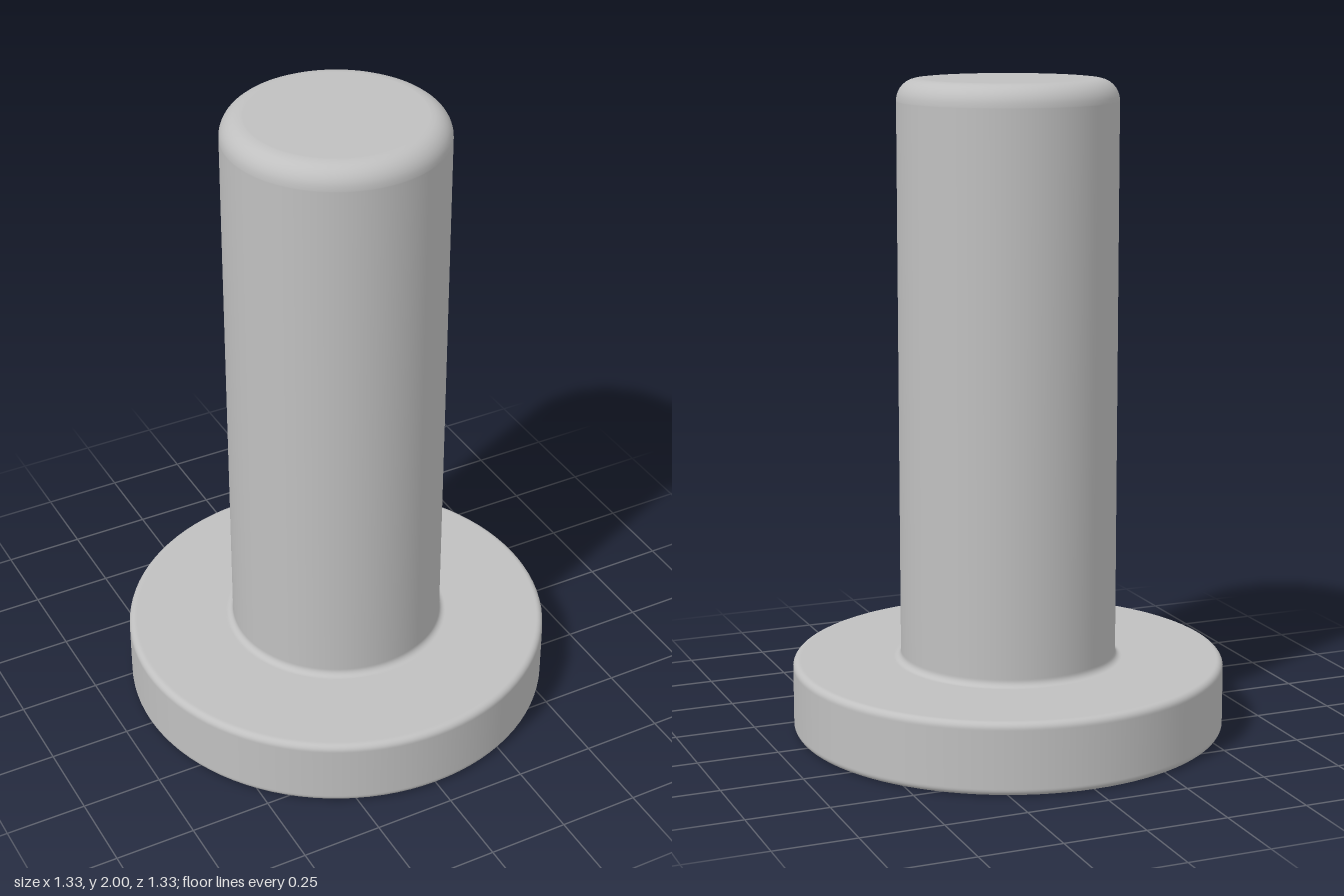
import * as THREE from 'three';

const SEGMENTS = 96;
const HEAD_R = 0.667, HEAD_H = 0.22, SHANK_R = 0.333, HEIGHT = 2;
const EDGE = 0.02, TIP = 0.065;
const SOCKET_R = 0.285, SOCKET_DEPTH = 0.17;

// Quarter-circle of profile points around (cx, cy), with short tangent
// lead-ins so that the neighbouring flat surfaces keep clean normals
function arc(cx, cy, r, from, to, steps = 8) {
  const at = (a) => new THREE.Vector2(cx + r * Math.cos(a), cy + r * Math.sin(a));
  const lead = 0.003, dir = Math.sign(to - from);
  const tangent = (a) => new THREE.Vector2(-Math.sin(a), Math.cos(a)).multiplyScalar(lead * dir);
  const points = [at(from).sub(tangent(from))];
  for (let i = 0; i <= steps; i++) points.push(at(from + ((to - from) * i) / steps));
  points.push(at(to).add(tangent(to)));
  return points;
}

export function createModel() {
  const group = new THREE.Group();
  group.name = 'socketBolt';
  const steel = new THREE.MeshStandardMaterial({ color: 0xc0c0c0 });
  steel.name = 'grey steel';

  const add = (name, geometry) => {
    const mesh = new THREE.Mesh(geometry, steel);
    mesh.name = name;
    group.add(mesh);
  };

  const q = Math.PI / 2;

  // Head rim, rounded at both edges, and its flat upper shoulder
  const shoulderR = SHANK_R + EDGE;
  add('head', new THREE.LatheGeometry([
    ...arc(HEAD_R - EDGE, EDGE, EDGE, -q, 0),
    ...arc(HEAD_R - EDGE, HEAD_H - EDGE, EDGE, 0, q),
    new THREE.Vector2(shoulderR, HEAD_H),
  ], SEGMENTS));

  // Shank with a small fillet at the root and a rounded tip
  add('shank', new THREE.LatheGeometry([
    ...arc(shoulderR, HEAD_H + EDGE, EDGE, -q, -2 * q),
    ...arc(SHANK_R - TIP, HEIGHT - TIP, TIP, 0, q),
    new THREE.Vector2(0, HEIGHT),
  ], SEGMENTS));

  // Underside of the head with a hexagonal opening
  const face = new THREE.Shape().absarc(0, 0, HEAD_R - EDGE, 0, Math.PI * 2, false);
  const corners = [];
  for (let i = 0; i < 6; i++) {
    const a = q - (i * Math.PI) / 3;
    corners.push(new THREE.Vector2(SOCKET_R * Math.cos(a), SOCKET_R * Math.sin(a)));
  }
  face.holes.push(new THREE.Path(corners));
  add('headFace', new THREE.ShapeGeometry(face, SEGMENTS).rotateX(q));

  // Socket walls, mirrored so that they face inwards
  const walls = new THREE.CylinderGeometry(SOCKET_R, SOCKET_R, SOCKET_DEPTH, 6, 1, true)
    .scale(-1, 1, 1).translate(0, SOCKET_DEPTH / 2, 0).toNonIndexed();
  walls.computeVertexNormals();
  add('socketWalls', walls);

  // Socket floor
  add('socketFloor', new THREE.CircleGeometry(SOCKET_R, 6, q)
    .rotateX(q).translate(0, SOCKET_DEPTH, 0));

  return group;
}
